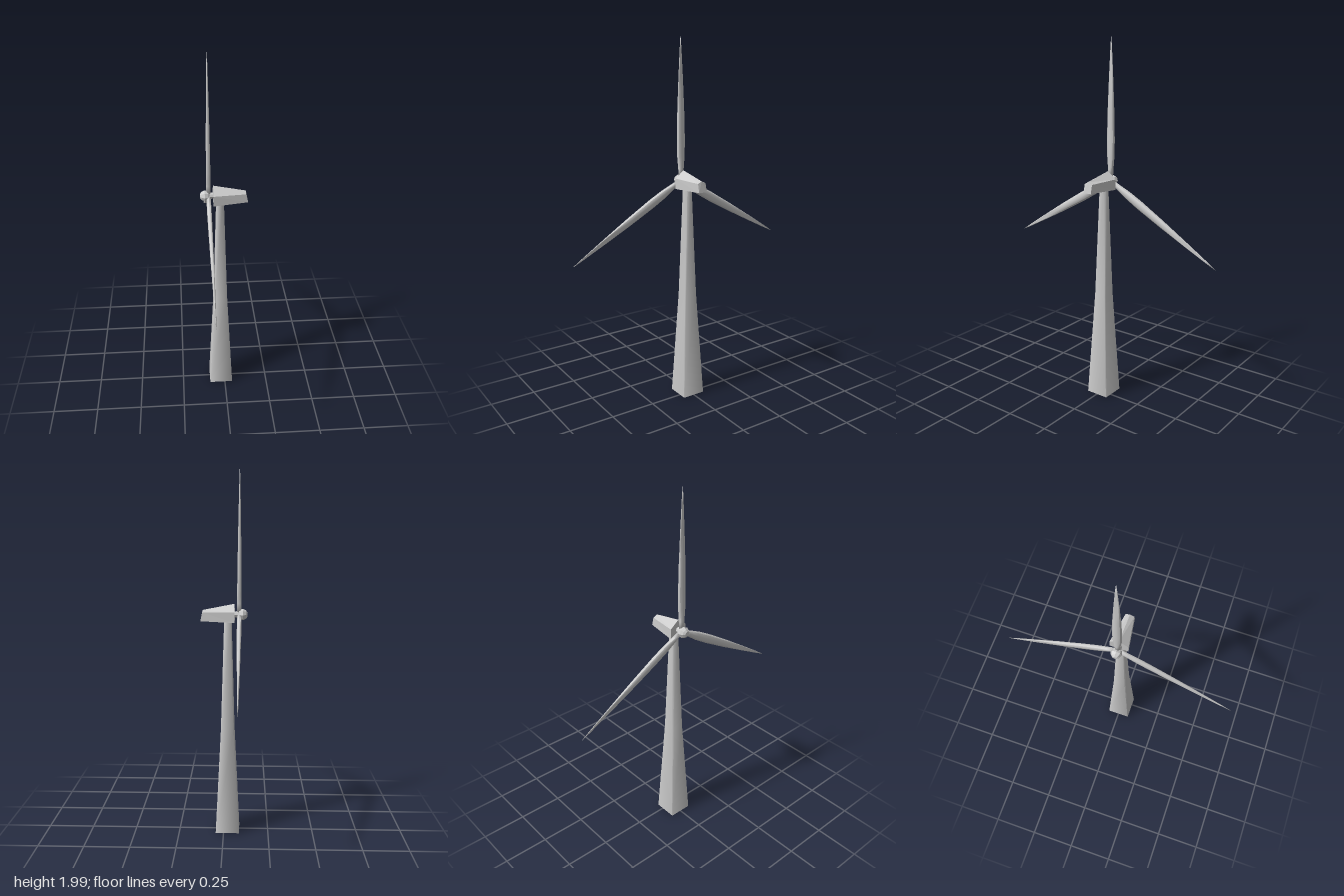
import * as THREE from 'three';
import { mergeVertices, toCreasedNormals } from 'three/addons/utils/BufferGeometryUtils.js';

// Skin a list of equal-length rings (counter-clockwise seen from the last ring's side).
function loft(rings, crease, capped) {
  const n = rings[0].length;
  const index = [];
  for (let i = 0; i < rings.length - 1; i++) {
    for (let j = 0; j < n; j++) {
      const a = i * n + j, b = i * n + (j + 1) % n;
      index.push(a, b, b + n, a, b + n, a + n);
    }
  }
  const last = (rings.length - 1) * n;
  for (let j = 1; capped && j < n - 1; j++) {
    index.push(0, j + 1, j, last, last + j, last + j + 1);
  }
  const geo = new THREE.BufferGeometry();
  geo.setAttribute('position', new THREE.Float32BufferAttribute(rings.flat(2), 3));
  geo.setIndex(index);
  return toCreasedNormals(mergeVertices(geo), crease);
}

export function createModel() {
  const model = new THREE.Group();
  model.name = 'windTurbine';
  const smooth = new THREE.MeshStandardMaterial({ color: 0xcccccc });
  const open = new THREE.MeshStandardMaterial({ color: 0xcccccc, side: THREE.DoubleSide });
  const flat = new THREE.MeshStandardMaterial({ color: 0xcccccc, flatShading: true });
  const add = (parent, name, geo, mat) => {
    const mesh = new THREE.Mesh(geo, mat);
    mesh.name = name;
    parent.add(mesh);
    return mesh;
  };

  // Tapered square tower, open below, with corners softening upwards: [y, half width, chamfer]
  const towerRings = [[0, 0.066, 0.002], [0.6, 0.037, 0.005], [1.2, 0.02, 0.007]].map(([y, h, c]) => {
    const k = h - c;
    return [[h, k], [k, h], [-k, h], [-h, k], [-h, -k], [-k, -h], [k, -h], [h, -k]]
      .map(([x, z]) => [x - 0.022, y, -z]);
  });
  add(model, 'tower', loft(towerRings, 1.1, false), open);

  // Nacelle: pitched-roof section narrowing to the rear
  const house = (xTop, xBottom, ridge, eave, w, floor) => [
    [xTop, ridge, 0], [xTop, eave, w], [xBottom, floor, w], [xBottom, floor, -w], [xTop, eave, -w],
  ];
  add(model, 'nacelle', loft([
    house(-0.058, -0.058, 1.29, 1.25, 0.051, 1.193),
    house(0.114, 0.125, 1.256, 1.245, 0.024, 1.198),
  ], 0.3, true), flat);

  // Rotor turns about the x axis
  const rotor = new THREE.Group();
  rotor.name = 'rotor';
  rotor.position.set(-0.083, 1.232, 0);
  model.add(rotor);

  // Hub with rounded nose pointing to -x
  const hubProfile = [[0, -0.028], [0.017, -0.028], [0.018, -0.004], [0.026, 0],
    [0.031, 0.02], [0.023, 0.035], [0.013, 0.044], [0, 0.045]]
    .map(([r, y]) => new THREE.Vector2(r, y));
  const hub = add(rotor, 'hub', new THREE.LatheGeometry(hubProfile, 8), flat);
  hub.rotation.z = Math.PI / 2;

  // Blade: elliptical sections [y, half thickness, half chord]
  const bladeRings = [[0.01, 0.011, 0.013], [0.06, 0.012, 0.017], [0.13, 0.012, 0.024], [0.22, 0.011, 0.026],
    [0.38, 0.009, 0.022], [0.55, 0.006, 0.014], [0.69, 0.003, 0.006], [0.755, 0.001, 0.001]]
    .map(([y, t, c]) => Array.from({ length: 8 }, (_, i) => {
      const a = i * Math.PI / 4;
      return [t * Math.cos(a), y, -c * Math.sin(a)];
    }));
  const bladeGeo = loft(bladeRings, 1.6, true);
  for (let i = 0; i < 3; i++) {
    add(rotor, 'blade' + (i + 1), bladeGeo, smooth).rotation.x = i * Math.PI * 2 / 3;
  }
  return model;
}
